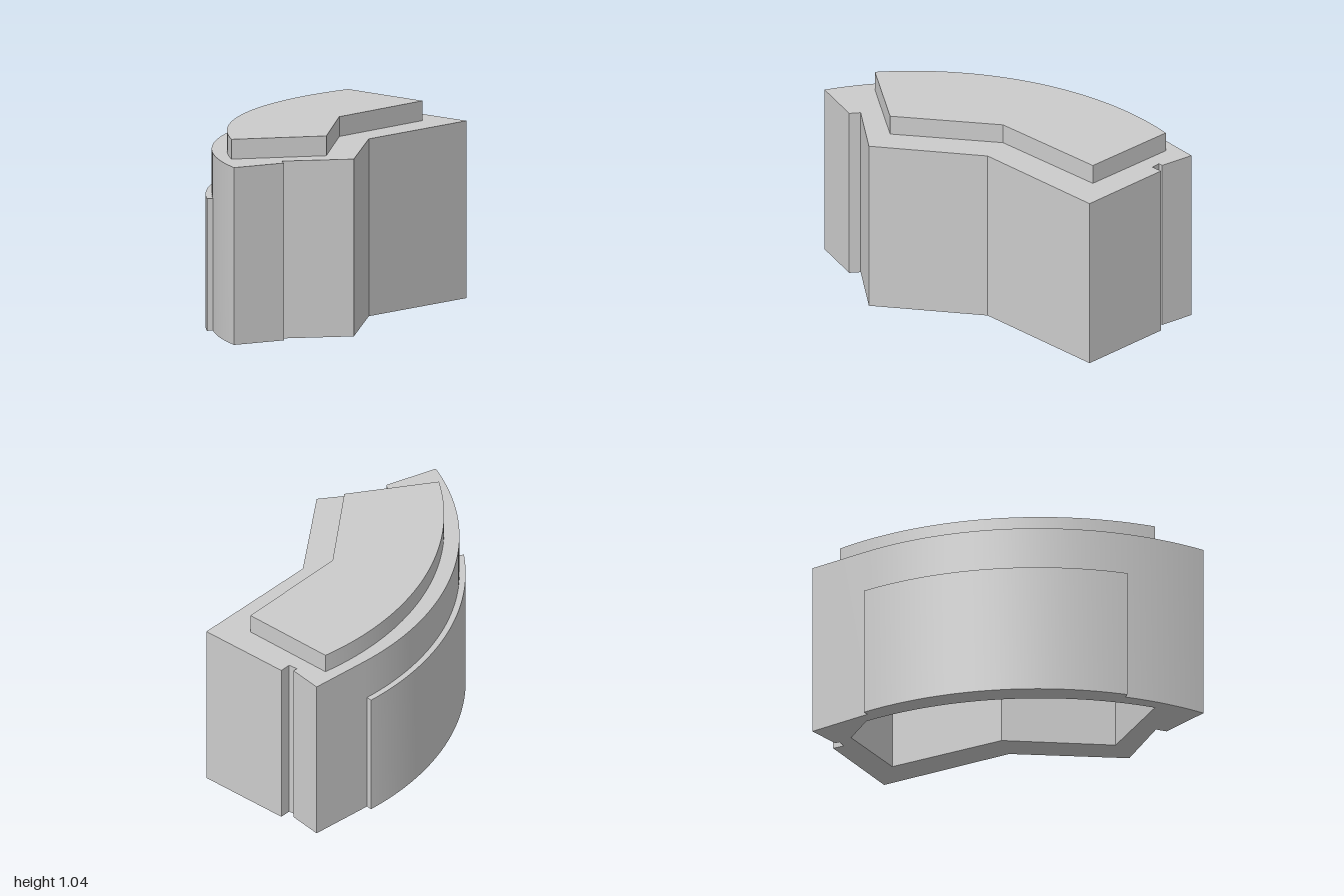
import * as THREE from 'three';
import { toCreasedNormals } from 'three/addons/utils/BufferGeometryUtils.js';

const material = new THREE.MeshStandardMaterial({ color: 0xcccccc });

// Points [x, z] on an arc bulging towards -x, from height z0 to z1
function arc(cx, cz, r, z0, z1, steps = 40) {
  const a0 = Math.asin((z0 - cz) / r), a1 = Math.asin((z1 - cz) / r);
  return Array.from({ length: steps + 1 }, (_, i) => {
    const a = a0 + (a1 - a0) * i / steps;
    return [cx - r * Math.cos(a), cz + r * Math.sin(a)];
  });
}

// Upright prism from a clockwise plan outline, with an optional hole
function prism(name, outline, y0, y1, hole) {
  // Reversed to run counter-clockwise, so that hole walls face inwards
  const toPlan = pts => pts.map(([x, z]) => new THREE.Vector2(x, -z)).reverse();
  const shape = new THREE.Shape(toPlan(outline));
  if (hole) shape.holes.push(new THREE.Path(toPlan(hole)));
  const geo = new THREE.ExtrudeGeometry(shape, { depth: y1 - y0, bevelEnabled: false });
  geo.rotateX(-Math.PI / 2).translate(0, y0, 0);
  const mesh = new THREE.Mesh(toCreasedNormals(geo, 0.15), material);
  mesh.name = name;
  return mesh;
}

export function createModel() {
  const group = new THREE.Group();
  group.name = 'curvedBlock';

  // Bent block: notched ends, angled inner face, curved outer face
  const body = [
    [0.038, -1], [0.168, -0.863], [0.152, -0.843], [0.195, -0.815], [0.232, -0.865],
    [0.647, -0.543], [0.183, 0.055], [0.154, 0.685], [-0.216, 0.777], [-0.2, 0.835],
    ...arc(0.914, 0.3, 1.531, 0.998, -0.75),
  ];

  // Inset outline shared by the raised top and the hollow underneath
  const inset = [
    [0.417, -0.53], [0.023, -0.005], [0.003, 0.593],
    ...arc(1.067, 0.335, 1.601, 0.737, -0.86),
  ];

  // Thin panel on the lower part of the curved face
  const panel = [
    ...arc(0.914, 0.3, 1.563, 0.573, -0.764),
    ...arc(0.914, 0.3, 1.52, -0.734, 0.564),
  ];

  group.add(
    prism('bodyWalls', body, 0, 0.94, inset),
    prism('raisedTop', inset, 0.86, 1.045),
    prism('outerPanel', panel, 0, 0.7),
  );
  return group;
}
